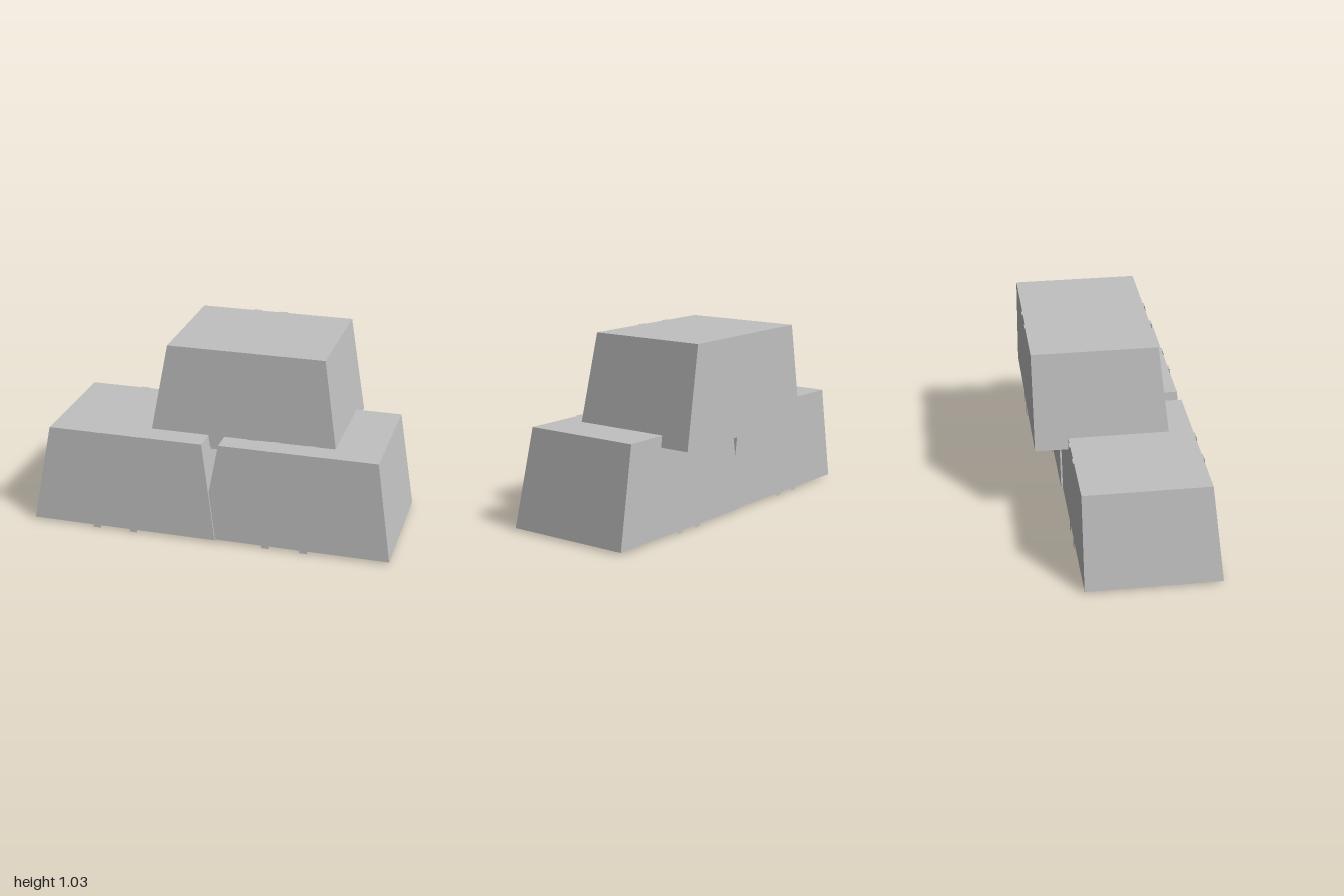
import * as THREE from 'three';

const HEIGHT = 0.538, SKEW = -0.018;
const FRONT_BOTTOM = 0.364, FRONT_TOP = 0.308, BACK = -0.364;
const HALF_BOTTOM = 0.522, HALF_TOP = 0.433;

// Flat-shaded geometry from quads, corners counter-clockwise from outside
function quads(list) {
  const pos = [];
  for (const [a, b, c, d] of list) pos.push(...a, ...b, ...c, ...a, ...c, ...d);
  const g = new THREE.BufferGeometry();
  g.setAttribute('position', new THREE.Float32BufferAttribute(pos, 3));
  g.computeVertexNormals();
  return g;
}

// Front and back edges drift slightly in z along x
const point = (x, y, z) => [x, y, z + SKEW * x];

// Hollow tapered block: sloped front and sides, upright back, open underneath
function blockGeometry() {
  const ring = (half, y, front) => [
    point(-half, y, front), point(half, y, front), point(half, y, BACK), point(-half, y, BACK),
  ];
  const low = ring(HALF_BOTTOM, 0, FRONT_BOTTOM);
  const high = ring(HALF_TOP, HEIGHT, FRONT_TOP);
  const faces = [high];
  for (let i = 0; i < 4; i++) {
    const j = (i + 1) % 4;
    faces.push([low[i], low[j], high[j], high[i]]);
  }
  return quads(faces);
}

// Thin strap running up the front, over the top and down the back
function strapGeometry(frontX, backX, width) {
  const out = 0.006, drop = 0.012, lift = 0.002;
  const section = (x, y, z) => [point(x, y, z), point(x + width, y, z)];
  const path = [
    section(frontX, -drop, FRONT_BOTTOM + out),
    section(frontX, HEIGHT + lift, FRONT_TOP + out),
    section(backX, HEIGHT + lift, BACK - out),
    section(backX, -drop, BACK - out),
  ];
  const faces = [];
  for (let i = 0; i < 3; i++) {
    const [a, b] = path[i], [c, d] = path[i + 1];
    faces.push([a, b, d, c]);
  }
  return quads(faces);
}

export function createModel() {
  const model = new THREE.Group();
  model.name = 'stackedBlocks';
  const grey = new THREE.MeshStandardMaterial({ color: 0xc0c0c0, side: THREE.DoubleSide });
  grey.name = 'grey';

  const body = blockGeometry();
  const straps = [strapGeometry(-0.175, -0.135, 0.043), strapGeometry(0.037, 0.018, 0.043)];

  // Two blocks side by side with a third resting across them
  const places = [
    ['rightBlock', -0.478, 0.012, 0.09],
    ['leftBlock', 0.478, 0.012, 0.063],
    ['upperBlock', 0.146, 0.488, -0.101],
  ];
  for (const [name, x, y, z] of places) {
    const block = new THREE.Group();
    block.name = name;
    block.position.set(x, y, z);
    const shell = new THREE.Mesh(body, grey);
    shell.name = 'blockBody';
    block.add(shell);
    straps.forEach((geometry, i) => {
      const strap = new THREE.Mesh(geometry, grey);
      strap.name = 'strap' + (i + 1);
      block.add(strap);
    });
    model.add(block);
  }
  return model;
}
